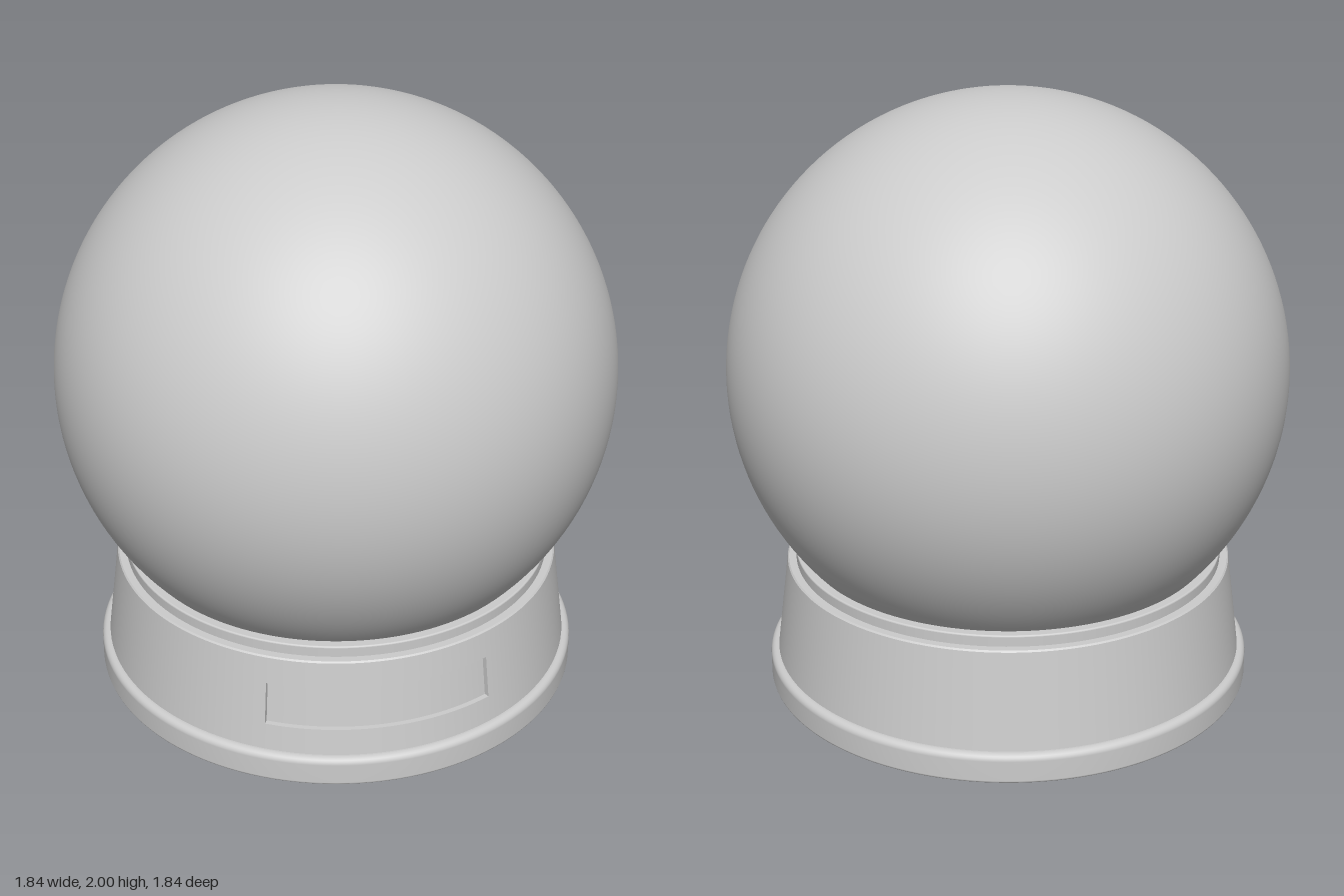
import * as THREE from 'three';
import { mergeGeometries } from 'three/addons/utils/BufferGeometryUtils.js';

const material = new THREE.MeshStandardMaterial({ color: 0xcccccc });

// Revolves several profile runs; each run is smooth, the joints between runs stay sharp.
function revolve(name, runs, segments = 128, start = 0, length = Math.PI * 2) {
  const parts = runs.map((run) => new THREE.LatheGeometry(
    run.map(([r, y]) => new THREE.Vector2(r, y)), segments, start, length));
  const mesh = new THREE.Mesh(mergeGeometries(parts), material);
  mesh.name = name;
  return mesh;
}

// Splits a polyline into separate straight runs.
const sharp = (points) => points.slice(1).map((p, i) => [points[i], p]);

// Quarter-round corner points around a centre.
function arc(r, y, radius, from, to, steps = 6) {
  return Array.from({ length: steps + 1 }, (_, i) => {
    const a = from + (to - from) * i / steps;
    return [r + radius * Math.cos(a), y + radius * Math.sin(a)];
  });
}

export function createModel() {
  const model = new THREE.Group();
  model.name = 'globeOnStand';

  // Globe
  const globe = new THREE.Mesh(new THREE.SphereGeometry(0.92, 128, 80), material);
  globe.name = 'globe';
  globe.position.y = 1.08;
  model.add(globe);

  // Foot with rounded rim
  const foot = [
    ...arc(0.805, 0.01, 0.01, -Math.PI / 2, 0),
    ...arc(0.793, 0.078, 0.022, 0, Math.PI / 2),
  ];
  model.add(revolve('foot', [[[0, 0], [0.805, 0]], foot, [[0.793, 0.1], [0.75, 0.1]]]));

  // Tapered drum, with a curved recessed panel in the front
  const half = 0.492;
  const wall = (y) => 0.788 - (y - 0.1) * 0.127;
  const y0 = 0.19, y1 = 0.335, depth = 0.017;
  const shoulder = [[wall(0.425), 0.425], [wall(0.43) - 0.004, 0.43], [0.7, 0.43]];
  model.add(revolve('drum', sharp([[wall(0.1), 0.1], ...shoulder]),
    108, half, Math.PI * 2 - 2 * half));
  model.add(revolve('drumFront', sharp([
    [wall(0.1), 0.1], [wall(y0), y0], [wall(y0) - depth, y0],
    [wall(y1) - depth, y1], [wall(y1), y1], ...shoulder,
  ]), 24, -half, 2 * half));

  // End walls of the recess
  for (const side of [-1, 1]) {
    const at = (r, y) => [r * Math.sin(side * half), y, r * Math.cos(half)];
    const corners = [
      at(wall(y0) - depth, y0), at(wall(y0), y0),
      at(wall(y1), y1), at(wall(y1) - depth, y1),
    ];
    const end = new THREE.BufferGeometry();
    end.setAttribute('position', new THREE.Float32BufferAttribute(corners.flat(), 3));
    end.setIndex(side > 0 ? [0, 1, 2, 0, 2, 3] : [0, 2, 1, 0, 3, 2]);
    end.computeVertexNormals();
    const mesh = new THREE.Mesh(end, material);
    mesh.name = side > 0 ? 'recessEndLeft' : 'recessEndRight';
    model.add(mesh);
  }

  // Collar holding the globe
  model.add(revolve('collar', [
    [[0.717, 0.43], [0.717, 0.462]],
    arc(0.712, 0.462, 0.005, 0, Math.PI / 2, 4),
    [[0.712, 0.467], [0.67, 0.467]],
  ]));

  return model;
}
